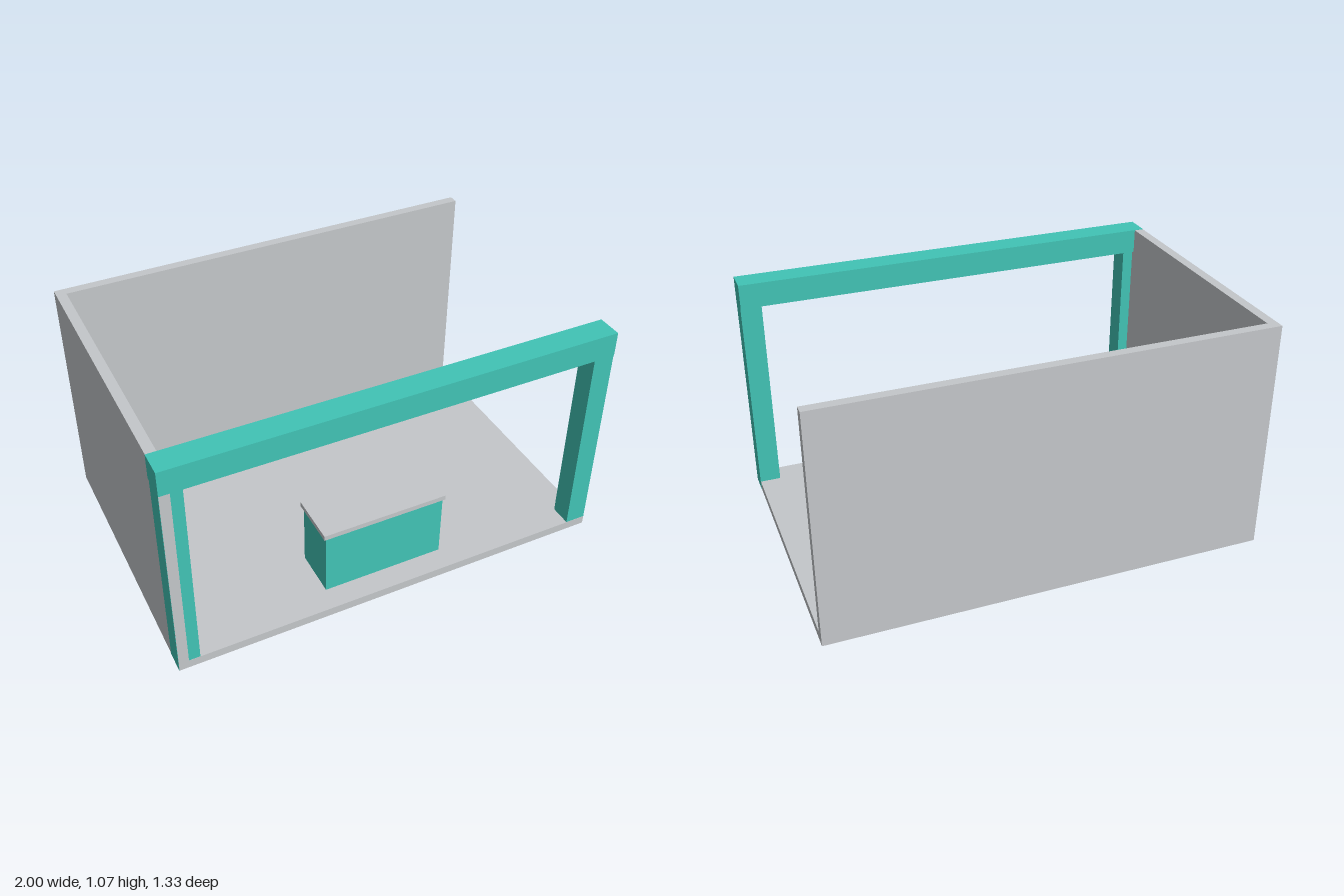
import * as THREE from 'three';

export function createModel() {
  const group = new THREE.Group();
  const grey = new THREE.MeshStandardMaterial({ color: 0xc4c7ca });
  grey.name = 'light grey';
  const teal = new THREE.MeshStandardMaterial({ color: 0x41c3b5 });
  teal.name = 'teal';

  // Box given by its extents along each axis
  function box(name, material, [x0, x1], [y0, y1], [z0, z1]) {
    const mesh = new THREE.Mesh(new THREE.BoxGeometry(x1 - x0, y1 - y0, z1 - z0), material);
    mesh.position.set((x0 + x1) / 2, (y0 + y1) / 2, (z0 + z1) / 2);
    mesh.name = name;
    group.add(mesh);
  }

  // Booth shell, set back a hair so that the frame shows where they meet
  box('floor', grey, [-0.999, 0.999], [0.001, 0.041], [-0.666, 0.665]);
  box('backWall', grey, [-0.999, 0.999], [0.001, 1.069], [-0.667, -0.624]);
  box('sideWall', grey, [-0.999, -0.955], [0.001, 1.069], [-0.666, 0.665]);

  // Front frame: two posts carrying a beam
  for (const [name, side] of [['leftPost', 1], ['rightPost', -1]]) {
    const xs = [side, side * 0.905].sort((a, b) => a - b);
    box(name, teal, xs, [0, 0.96], [0.566, 0.664]);
  }
  box('topBeam', teal, [-1, 1], [0.957, 1.07], [0.553, 0.667]);

  // Counter with an overhanging top
  box('counterBody', teal, [-0.283, 0.281], [0, 0.348], [0.34, 0.558]);
  box('counterTop', grey, [-0.293, 0.291], [0.347, 0.37], [0.329, 0.565]);

  return group;
}
